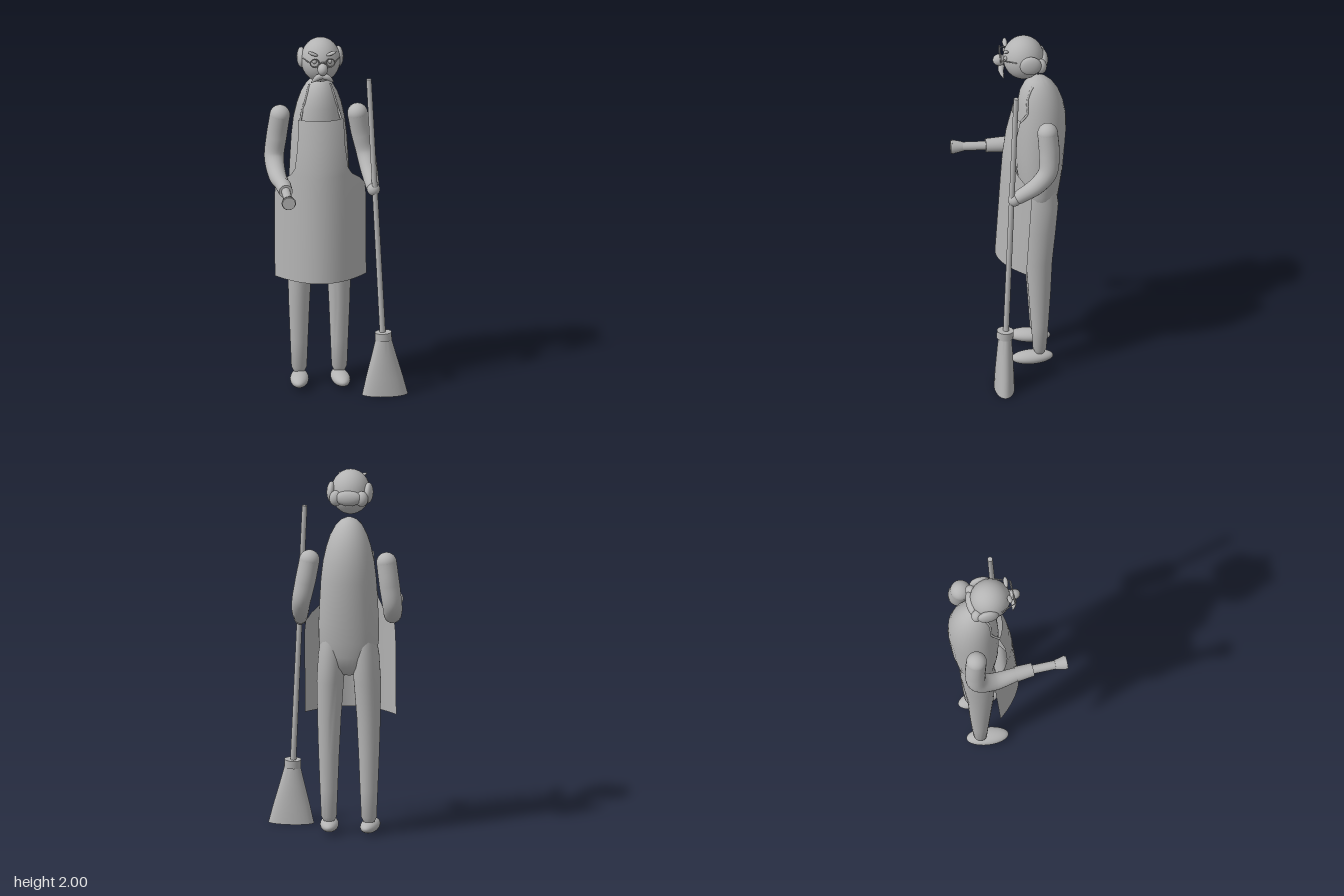
import * as THREE from 'three';
import { toCreasedNormals } from 'three/addons/utils/BufferGeometryUtils.js';

const CX = -0.087; // the figure's own centre line

const V = (p) => new THREE.Vector3(p[0], p[1], p[2]);

// Stacked elliptical rings [x, y, z, rx, rz], bottom to top, closed at both ends
function loft(rings, n = 28) {
  const pos = [], idx = [];
  const first = rings[0], last = rings[rings.length - 1];
  const all = [[...first.slice(0, 3), 0.0005, 0.0005], ...rings, [...last.slice(0, 3), 0.0005, 0.0005]];
  all.forEach(([x, y, z, rx, rz], i) => {
    for (let j = 0; j < n; j++) {
      const a = (j / n) * Math.PI * 2;
      pos.push(x + Math.cos(a) * rx, y, z + Math.sin(a) * rz);
      if (i === all.length - 1) continue;
      const p = i * n + j, q = i * n + (j + 1) % n;
      idx.push(p, p + n, q, q, p + n, q + n);
    }
  });
  const g = new THREE.BufferGeometry();
  g.setAttribute('position', new THREE.Float32BufferAttribute(pos, 3));
  g.setIndex(idx);
  return toCreasedNormals(g, 0.9);
}

// Tube through points [x, y, z, radius] with a varying radius
function taperTube(points, segs = 24, sides = 16) {
  const curve = new THREE.CatmullRomCurve3(points.map(V));
  const g = new THREE.TubeGeometry(curve, segs, 1, sides);
  const p = g.attributes.position, v = new THREE.Vector3();
  for (let i = 0; i < p.count; i++) {
    const t = Math.floor(i / (sides + 1)) / segs, c = curve.getPointAt(t);
    const f = t * (points.length - 1), k = Math.min(Math.floor(f), points.length - 2);
    const r = THREE.MathUtils.lerp(points[k][3], points[k + 1][3], f - k);
    v.fromBufferAttribute(p, i).sub(c).multiplyScalar(r).add(c);
    p.setXYZ(i, v.x, v.y, v.z);
  }
  return g;
}

// Linear lookup in rows [y, value...], y falling
function sample(rows, y, col) {
  for (let i = 0; i < rows.length - 1; i++) {
    const a = rows[i], b = rows[i + 1];
    if (y <= a[0] && y >= b[0]) return THREE.MathUtils.mapLinear(y, a[0], b[0], a[col], b[col]);
  }
  return rows[rows.length - 1][col];
}

export function createModel() {
  const model = new THREE.Group();
  const clay = new THREE.MeshStandardMaterial({ color: 0xb4b4b4 });
  clay.name = 'plain grey';
  clay.side = THREE.DoubleSide;

  const add = (name, geo, pos = [0, 0, 0], parent = model) => {
    const m = new THREE.Mesh(geo, clay);
    m.name = name;
    m.position.set(...pos);
    parent.add(m);
    return m;
  };
  const ball = (name, pos, r, parent) => {
    const m = add(name, new THREE.SphereGeometry(1, 28, 20), pos, parent);
    m.scale.set(...r);
    return m;
  };
  // Cylinder between two points
  const rod = (name, a, b, ra, rb, parent) => {
    const d = V(b).sub(V(a));
    const m = add(name, new THREE.CylinderGeometry(rb, ra, d.length(), 20), V(a).add(V(b)).multiplyScalar(0.5).toArray(), parent);
    m.quaternion.setFromUnitVectors(new THREE.Vector3(0, 1, 0), d.normalize());
    return m;
  };

  // Torso: [y, half width, front z, back z]
  const torso = [
    [0.89, 0.04, -0.13, -0.19], [0.94, 0.11, -0.09, -0.235], [1.0, 0.15, -0.065, -0.255],
    [1.08, 0.162, -0.05, -0.268], [1.18, 0.163, -0.035, -0.283], [1.3, 0.157, -0.03, -0.293],
    [1.42, 0.15, -0.03, -0.302], [1.52, 0.138, -0.035, -0.3], [1.6, 0.12, -0.042, -0.285],
    [1.66, 0.1, -0.053, -0.263], [1.71, 0.073, -0.075, -0.232], [1.74, 0.045, -0.1, -0.2], [1.755, 0.012, -0.135, -0.165],
  ];
  add('torso', loft(torso.map(([y, rx, f, b]) => [CX, y, (f + b) / 2, rx, (f - b) / 2])));

  // Legs and shoes
  for (const s of [-1, 1]) {
    const side = s < 0 ? 'right' : 'left';
    add(side + 'Leg', loft([
      [0.108, 0.075, -0.152, 0.03, 0.026], [0.108, 0.1, -0.152, 0.042, 0.037], [0.108, 0.25, -0.153, 0.048, 0.047],
      [0.108, 0.45, -0.152, 0.056, 0.06], [0.106, 0.65, -0.15, 0.064, 0.071], [0.1, 0.85, -0.155, 0.073, 0.086],
      [0.09, 1.0, -0.16, 0.074, 0.095], [0.085, 1.12, -0.16, 0.06, 0.08],
    ].map(([x, ...r]) => [CX + s * x, ...r])));
    const shoe = ball(side + 'Shoe', [CX + s * 0.11, 0.045, -0.112], [0.05, 0.036, 0.114]);
    shoe.rotation.y = s * 0.1;
  }

  // Head, hair and face
  const head = new THREE.Group();
  head.name = 'head';
  head.position.x = CX;
  model.add(head);
  ball('skull', [0, 1.878, -0.073], [0.106, 0.122, 0.11], head);
  ball('backHair', [0, 1.865, -0.175], [0.072, 0.042, 0.03], head);
  ball('nose', [0, 1.867, 0.058], [0.028, 0.033, 0.034], head);
  for (const s of [-1, 1]) {
    ball('sideHair', [s * 0.1, 1.882, -0.105], [0.025, 0.055, 0.058], head);
    ball('hairTuft', [s * 0.07, 1.86, -0.16], [0.036, 0.042, 0.032], head).rotation.y = s * 0.6;
    const brow = ball('eyebrow', [s * 0.05, 1.945, 0.024], [0.029, 0.009, 0.013], head);
    brow.rotation.z = s * 0.4;
    ball('eye', [s * 0.042, 1.902, 0.026], [0.012, 0.012, 0.01], head);
    add('spectacleRim', new THREE.TorusGeometry(0.023, 0.0035, 8, 28), [s * 0.042, 1.902, 0.052], head);
    rod('spectacleArm', [s * 0.065, 1.902, 0.052], [s * 0.098, 1.902, -0.03], 0.003, 0.003, head);
    add('moustache', taperTube([
      [0, 1.826, 0.045, 0.016], [s * 0.025, 1.82, 0.05, 0.016], [s * 0.045, 1.803, 0.045, 0.011], [s * 0.06, 1.787, 0.038, 0.002],
    ]), [0, 0, 0], head);
  }
  rod('spectacleBridge', [-0.019, 1.904, 0.052], [0.019, 1.904, 0.052], 0.003, 0.003, head);

  // Apron: [y, half width, centre z], a sheet bowed around the front
  const cut = [[1.545, 0.122, -0.012], [1.4, 0.128, 0.022], [1.28, 0.143, 0.038], [1.24, 0.165, 0.042],
    [1.2, 0.212, 0.045], [1.16, 0.24, 0.048], [1.1, 0.246, 0.052], [0.65, 0.246, 0.08]];
  const apron = new THREE.PlaneGeometry(2, 1, 24, cut.length - 1);
  const ap = apron.attributes.position;
  for (let i = 0; i < ap.count; i++) {
    const [y, w, z] = cut[Math.floor(i / 25)], dx = ap.getX(i) * w;
    ap.setXYZ(i, CX + dx, y, z - 2.5 * dx * dx);
  }
  apron.computeVertexNormals();
  add('apron', apron);
  for (const s of [-1, 1]) {
    const strap = [1.53, 1.58, 1.63, 1.68, 1.72].map((y, i) => {
      const x = 0.112 - i * 0.014;
      const rows = [...torso].reverse();
      const w = sample(rows, y, 1), f = sample(rows, y, 2), b = sample(rows, y, 3);
      const z = (f + b) / 2 + ((f - b) / 2) * Math.sqrt(Math.max(0, 1 - (x / w) ** 2));
      return [CX + s * x, y, i === 0 ? -0.045 : z, 0.006];
    });
    add('apronStrap', taperTube(strap, 16, 8));
  }

  // Arms: shoulder, elbow, wrist
  const arm = (name, pts) => {
    const g = new THREE.Group();
    g.name = name;
    model.add(g);
    add('sleeve', taperTube(pts, 32, 20), [0, 0, 0], g);
    for (const p of [pts[0], pts[pts.length - 1]]) ball('sleeveEnd', p.slice(0, 3), [p[3], p[3], p[3]], g);
    return g;
  };
  const right = arm('rightArm', [[-0.295, 1.522, -0.195, 0.055], [-0.312, 1.4, -0.205, 0.056],
    [-0.326, 1.285, -0.195, 0.053], [-0.318, 1.215, -0.11, 0.047], [-0.295, 1.197, 0.04, 0.036]]);
  rod('rightHand', [-0.296, 1.197, 0.02], [-0.29, 1.197, 0.115], 0.042, 0.037, right);
  const left = arm('leftArm', [[0.122, 1.522, -0.188, 0.055], [0.145, 1.4, -0.195, 0.056],
    [0.166, 1.3, -0.185, 0.052], [0.178, 1.225, -0.125, 0.046], [0.188, 1.165, -0.03, 0.037]]);
  ball('leftHand', [0.192, 1.152, -0.005], [0.035, 0.036, 0.036], left);

  // Hand torch
  const torch = new THREE.Group();
  torch.name = 'torch';
  model.add(torch);
  rod('torchBody', [-0.29, 1.197, 0.1], [-0.29, 1.197, 0.24], 0.024, 0.024, torch);
  rod('torchHead', [-0.29, 1.197, 0.238], [-0.29, 1.197, 0.295], 0.026, 0.039, torch);
  rod('torchLens', [-0.29, 1.197, 0.295], [-0.29, 1.197, 0.303], 0.035, 0.035, torch);

  // Broom
  const broom = new THREE.Group();
  broom.name = 'broom';
  model.add(broom);
  rod('broomHandle', [0.237, 0.34, 0.045], [0.168, 1.777, -0.015], 0.016, 0.014, broom);
  rod('broomCollar', [0.241, 0.312, 0.051], [0.239, 0.355, 0.049], 0.045, 0.045, broom);
  add('broomBristles', loft([[0.248, 0.004, 0.055, 0.123, 0.055], [0.246, 0.1, 0.054, 0.1, 0.051],
    [0.243, 0.22, 0.052, 0.068, 0.043], [0.241, 0.32, 0.051, 0.042, 0.035]]), [0, 0, 0], broom);

  return model;
}
